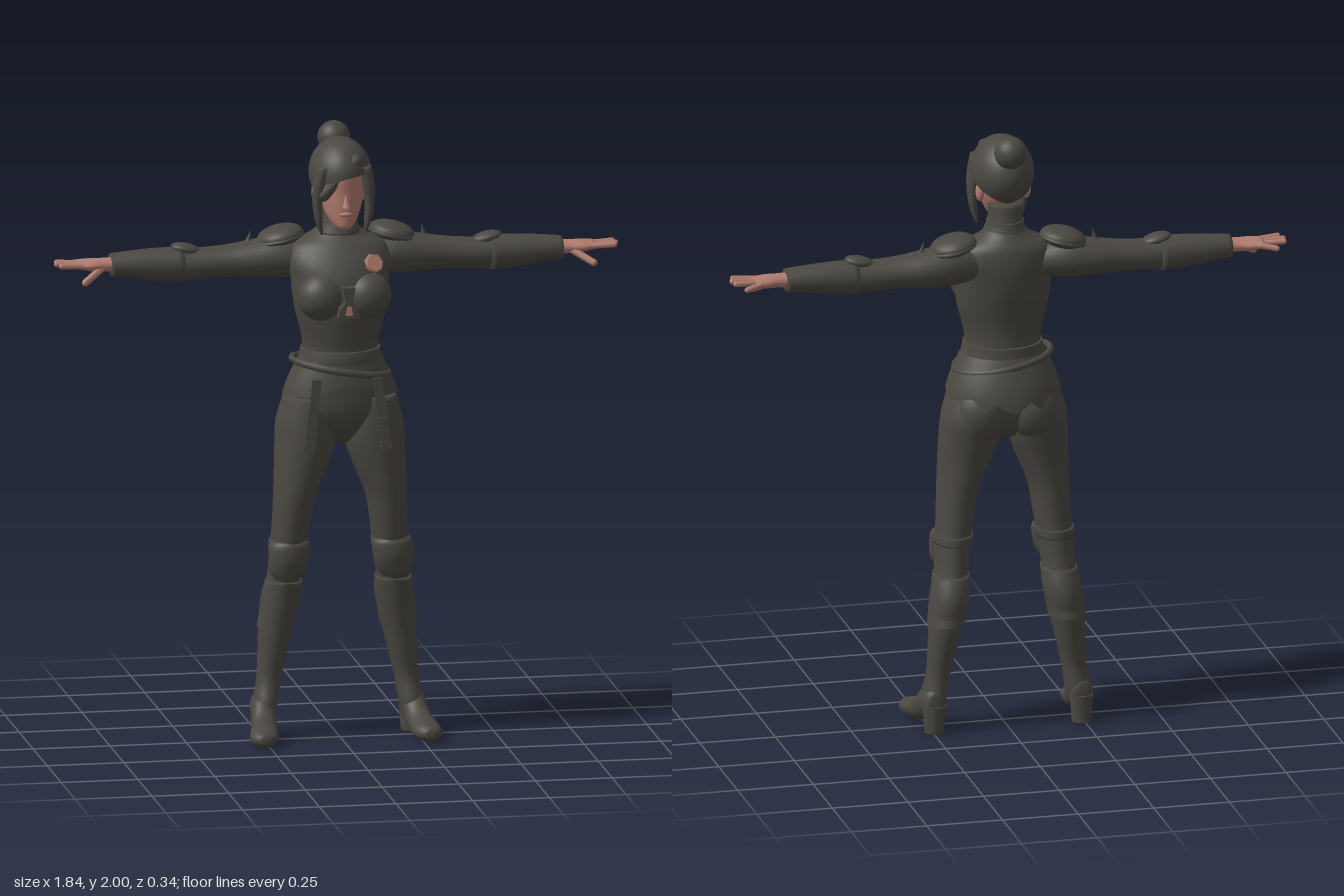
import * as THREE from 'three';

const cloth = new THREE.MeshStandardMaterial({ color: 0x4b4842, side: THREE.DoubleSide });
cloth.name = 'dark cloth';
const skin = new THREE.MeshStandardMaterial({ color: 0xb07c6e, side: THREE.DoubleSide });
skin.name = 'skin';

// Surface closed around u (0..1 turn), open along v (bottom to top)
function wrap(fn, nu, nv) {
  const pos = [], idx = [];
  for (let j = 0; j <= nv; j++)
    for (let i = 0; i < nu; i++) pos.push(...fn((i / nu) * Math.PI * 2, j / nv));
  for (let j = 0; j < nv; j++)
    for (let i = 0; i < nu; i++) {
      const a = j * nu + i, b = j * nu + (i + 1) % nu;
      idx.push(a, b, b + nu, a, b + nu, a + nu);
    }
  const g = new THREE.BufferGeometry();
  g.setAttribute('position', new THREE.Float32BufferAttribute(pos, 3));
  g.setIndex(idx);
  g.computeVertexNormals();
  return g;
}

// Smooth vertical loft through rows [y, cx, cz, rx, rz], closed at both ends
function loft(rows, nu = 28, steps = 4) {
  rows = [...rows].sort((a, b) => a[0] - b[0]);
  const end = r => [r[0], r[1], r[2], 0.0005, 0.0005];
  const n = rows.length - 1;
  const at = (t, k) => {
    const i = Math.min(Math.floor(t * n + 1e-9), n - 1), f = t * n - i;
    const p1 = rows[i][k], p2 = rows[i + 1][k];
    const p0 = rows[Math.max(i - 1, 0)][k], p3 = rows[Math.min(i + 2, n)][k];
    return p1 + 0.5 * f * (p2 - p0 + f * (2 * p0 - 5 * p1 + 4 * p2 - p3 + f * (3 * (p1 - p2) + p3 - p0)));
  };
  const rings = [end(rows[0])];
  for (let s = 0; s <= n * steps; s++) rings.push([0, 1, 2, 3, 4].map(k => at(s / (n * steps), k)));
  rings.push(end(rows[n]));
  const m = rings.length - 1;
  return wrap((a, v) => {
    const r = rings[Math.round(v * m)];
    return [r[1] + r[3] * Math.sin(a), r[0], r[2] + r[4] * Math.cos(a)];
  }, nu, m);
}
// Rows given as [y, cx, rx, zFront, zBack]
const body = rows => loft(rows.map(([y, cx, rx, f, b]) => [y, cx, (f + b) / 2, rx, (f - b) / 2]));
// Rows along x: [x, cy, cz, ry, rz]; rows along z: [z, cx, cy, rx, ry]
const loftX = rows => loft(rows.map(([x, y, ...r]) => [x, -y, ...r])).rotateZ(-Math.PI / 2);
const loftZ = rows => loft(rows.map(([z, x, y, ...r]) => [z, x, -y, ...r])).rotateX(Math.PI / 2);

const ball = (x, y, z, rx, ry, rz, tilt = 0) =>
  new THREE.SphereGeometry(1, 28, 18).scale(rx, ry, rz).rotateZ(tilt).translate(x, y, z);

// Rounded rod between two points
function rod(p, q, r) {
  const a = new THREE.Vector3(...p), b = new THREE.Vector3(...q), d = b.clone().sub(a);
  const g = new THREE.CapsuleGeometry(r, d.length(), 4, 10);
  g.applyQuaternion(new THREE.Quaternion().setFromUnitVectors(new THREE.Vector3(0, 1, 0), d.clone().normalize()));
  return g.translate(...a.add(b).multiplyScalar(0.5).toArray());
}

function mirror(g) {
  const m = g.clone().scale(-1, 1, 1), ix = m.index.array;
  for (let i = 0; i < ix.length; i += 3) [ix[i], ix[i + 1]] = [ix[i + 1], ix[i]];
  m.computeVertexNormals();
  return m;
}

// Flat outline with a thin depth
function plate(points, depth) {
  const s = new THREE.Shape(points.map(p => new THREE.Vector2(...p)));
  return new THREE.ExtrudeGeometry(s, { depth, bevelEnabled: false });
}

export function createModel() {
  const root = new THREE.Group();
  const add = (name, geo, mat = cloth) => {
    const m = new THREE.Mesh(geo, mat);
    m.name = name;
    root.add(m);
    return m;
  };
  const pair = (name, geo, mat = cloth) => {
    add('left' + name, geo, mat);
    add('right' + name, mirror(geo), mat);
  };

  // Torso and collar
  add('torso', body([
    [0.975, 0, 0.04, 0.04, -0.07], [1.02, 0, 0.12, 0.08, -0.11], [1.08, 0, 0.18, 0.105, -0.13],
    [1.15, 0, 0.175, 0.11, -0.135], [1.22, 0, 0.145, 0.11, -0.115], [1.28, 0, 0.123, 0.106, -0.108],
    [1.34, 0, 0.13, 0.115, -0.108], [1.4, 0, 0.146, 0.125, -0.118], [1.46, 0, 0.155, 0.13, -0.13],
    [1.52, 0, 0.16, 0.12, -0.138], [1.57, 0, 0.17, 0.098, -0.14], [1.62, 0, 0.15, 0.065, -0.132],
    [1.655, 0, 0.085, 0.035, -0.112], [1.69, 0, 0.058, 0.025, -0.095], [1.76, 0, 0.054, 0.02, -0.085]]));
  add('collar', body([[1.655, 0, 0.075, 0.042, -0.108], [1.685, 0, 0.062, 0.034, -0.1], [1.7, 0, 0.06, 0.03, -0.097]]));
  pair('Bust', ball(0.074, 1.465, 0.078, 0.078, 0.078, 0.073));
  pair('Buttock', ball(0.088, 1.065, -0.07, 0.085, 0.1, 0.078));
  add('waistband', body([[1.245, 0, 0.137, 0.118, -0.118], [1.265, 0, 0.132, 0.117, -0.116], [1.285, 0, 0.129, 0.113, -0.114]]));

  // Jacket skirt with a pointed hem at the back
  add('skirt', wrap((a, v) => {
    const back = Math.max(0, -Math.cos(a)), side = Math.abs(Math.sin(a));
    const point = Math.abs(((a / (Math.PI * 2)) * 10 + 0.5) % 1 - 0.5) * 2;
    const drop = 0.075 + 0.045 * side + back * (0.05 + 0.045 * (1 - point));
    const t = 1 - v, flare = Math.sin(Math.min(t * drop / 0.13, 1.3) * 1.2);
    return [Math.sin(a) * (0.137 + 0.055 * flare), 1.25 - drop * t,
      Math.cos(a) > 0 ? Math.cos(a) * (0.116 + 0.016 * flare) : Math.cos(a) * (0.118 + 0.052 * flare)];
  }, 80, 8));
  const belt = add('belt', new THREE.TorusGeometry(1, 0.07, 8, 48).rotateX(Math.PI / 2).scale(0.158, 0.16, 0.128));
  belt.position.set(0, 1.222, 0);
  belt.rotation.z = -0.17;

  // Hanging straps with studs
  for (const s of [-1, 1]) {
    const strap = new THREE.Group();
    strap.name = s > 0 ? 'leftStrap' : 'rightStrap';
    const web = new THREE.Mesh(new THREE.BoxGeometry(0.03, 0.24, 0.01), cloth);
    web.name = 'strapWebbing';
    strap.add(web);
    for (let i = 0; i < 4; i++) {
      const stud = new THREE.Mesh(new THREE.BoxGeometry(0.034, 0.022, 0.018), cloth);
      stud.name = 'strapStud';
      stud.position.y = -0.1 + i * 0.04;
      strap.add(stud);
    }
    strap.position.set(s * 0.113, 1.085, 0.132);
    strap.rotation.z = s > 0 ? 0.13 : -0.12;
    root.add(strap);
  }

  // Chest clasp and badge
  add('chestClasp', plate([[-0.035, 1.41], [0.035, 1.41], [0.03, 1.44], [0.012, 1.46], [0.02, 1.51], [-0.02, 1.51], [-0.012, 1.46], [-0.03, 1.44]], 0.03).translate(0, 0, 0.138));
  add('claspInset', plate([[-0.012, 1.42], [0.012, 1.42], [0.006, 1.45], [-0.006, 1.45]], 0.004).translate(0, 0, 0.167), skin);
  const badge = add('badge', new THREE.CylinderGeometry(0.03, 0.033, 0.012, 7).rotateX(Math.PI / 2), skin);
  badge.position.set(0.095, 1.572, 0.09);
  badge.rotation.set(-0.55, 0.35, 0);

  // Legs, knee pads and boots
  pair('Leg', body([
    [1.13, 0.1, 0.08, 0.095, -0.115], [1.05, 0.107, 0.097, 0.1, -0.135], [0.98, 0.112, 0.098, 0.1, -0.122],
    [0.9, 0.127, 0.086, 0.097, -0.105], [0.8, 0.149, 0.067, 0.09, -0.094], [0.7, 0.16, 0.06, 0.074, -0.09],
    [0.62, 0.168, 0.058, 0.058, -0.092], [0.54, 0.176, 0.054, 0.045, -0.1], [0.46, 0.184, 0.056, 0.022, -0.118]]));
  pair('KneePad', body([[0.655, 0.167, 0.052, 0.062, -0.03], [0.64, 0.167, 0.066, 0.07, -0.035], [0.6, 0.17, 0.066, 0.071, -0.035],
    [0.56, 0.174, 0.06, 0.062, -0.03], [0.53, 0.176, 0.04, 0.052, -0.02]]));
  pair('KneeStrap', body([[0.65, 0.166, 0.062, 0.066, -0.096], [0.62, 0.168, 0.062, 0.062, -0.097]]));
  pair('Boot', body([
    [0.52, 0.178, 0.058, 0.046, -0.104], [0.45, 0.186, 0.063, 0.026, -0.128], [0.36, 0.2, 0.056, 0.014, -0.122],
    [0.27, 0.212, 0.047, 0.002, -0.106], [0.19, 0.224, 0.04, -0.004, -0.092], [0.12, 0.236, 0.041, 0.015, -0.097], [0.07, 0.242, 0.036, 0.02, -0.095]]));
  pair('BootCuff', wrap((a, v) => {
    const top = 0.445 + 0.075 * Math.max(0, Math.cos(a));
    const r = 1.08 - 0.03 * v, y = 0.36 + (top - 0.36) * v, k = (y - 0.36) / 0.16;
    return [0.2 - 0.024 * k + Math.sin(a) * r * (0.056 + 0.004 * k), y, -0.054 + 0.026 * k + Math.cos(a) * r * (0.07 + 0.006 * k)];
  }, 28, 6));
  pair('Foot', loftZ([
    [-0.1, 0.242, 0.1, 0.025, 0.035], [-0.06, 0.243, 0.098, 0.04, 0.055], [-0.01, 0.246, 0.082, 0.04, 0.055],
    [0.04, 0.254, 0.05, 0.041, 0.042], [0.09, 0.263, 0.034, 0.047, 0.034], [0.13, 0.268, 0.03, 0.042, 0.028], [0.16, 0.27, 0.03, 0.018, 0.016]]));
  pair('BootHeel', new THREE.CylinderGeometry(0.038, 0.032, 0.09, 16).translate(0.243, 0.045, -0.072));

  // Sleeves, bracers and shoulder armour
  pair('Sleeve', loftX([
    [0.1, 1.565, -0.05, 0.05, 0.06], [0.19, 1.572, -0.066, 0.068, 0.076], [0.28, 1.566, -0.073, 0.06, 0.072],
    [0.36, 1.562, -0.073, 0.052, 0.06], [0.45, 1.557, -0.072, 0.051, 0.056], [0.52, 1.556, -0.072, 0.053, 0.053],
    [0.6, 1.56, -0.073, 0.048, 0.05], [0.68, 1.563, -0.073, 0.04, 0.046], [0.73, 1.565, -0.072, 0.034, 0.04]]));
  pair('Bracer', loftX([[0.5, 1.557, -0.072, 0.057, 0.057], [0.6, 1.56, -0.073, 0.052, 0.053], [0.68, 1.563, -0.073, 0.043, 0.048],
    [0.735, 1.564, -0.072, 0.037, 0.043]]));
  pair('ElbowPlate', ball(0.49, 1.607, -0.072, 0.05, 0.018, 0.036, 0.22));
  pair('ShoulderPad', ball(0.182, 1.638, -0.075, 0.076, 0.034, 0.075, -0.22));
  pair('PadRim', new THREE.TorusGeometry(1, 0.08, 8, 32).rotateX(Math.PI / 2).scale(0.073, 0.09, 0.072).rotateZ(-0.22).translate(0.182, 1.632, -0.075));
  pair('SleeveSpike', new THREE.ConeGeometry(0.012, 0.05, 8).rotateZ(0.25).translate(0.284, 1.635, -0.075));

  // Hands
  pair('Palm', loftX([[0.72, 1.565, -0.072, 0.024, 0.03], [0.76, 1.565, -0.072, 0.022, 0.032],
    [0.8, 1.566, -0.074, 0.02, 0.042], [0.84, 1.568, -0.08, 0.014, 0.043]]), skin);
  [[-0.115, 0.875, -0.13], [-0.092, 0.905, -0.1], [-0.068, 0.91, -0.07], [-0.046, 0.9, -0.037]].forEach(([z, tx, tz], i) =>
    pair('Finger' + (i + 1), rod([0.825, 1.568, z], [tx, 1.572 - (i === 0 ? 0.012 : 0), tz], 0.0095), skin));
  pair('Thumb', rod([0.77, 1.555, -0.05], [0.828, 1.522, -0.008], 0.012), skin);

  // Head
  add('head', body([
    [1.688, 0, 0.02, 0.1, 0.05], [1.7, 0, 0.036, 0.108, 0.0], [1.73, 0, 0.054, 0.11, -0.04], [1.77, 0, 0.068, 0.11, -0.075],
    [1.81, 0, 0.075, 0.109, -0.095], [1.86, 0, 0.077, 0.111, -0.1], [1.91, 0, 0.066, 0.095, -0.09], [1.94, 0, 0.04, 0.05, -0.05]]), skin);
  add('nose', new THREE.ConeGeometry(0.014, 0.05, 8).scale(1, 1, 1.2).rotateX(-0.25).translate(0, 1.785, 0.112), skin);
  add('lips', ball(0, 1.738, 0.107, 0.02, 0.008, 0.009), skin);
  pair('Ear', ball(0.077, 1.79, -0.012, 0.014, 0.032, 0.02), skin);

  // Swept hair cap with an uneven hairline, side locks and bun
  add('hair', wrap((a, v) => {
    const front = (1 + Math.cos(a)) / 2, side = Math.sin(a);
    const low = 2.5 - 0.95 * Math.pow(front, 0.6) - 0.22 * side * front * Math.sign(Math.cos(a) + 1);
    const th = Math.max(low * (1 - v), 0.002);
    return [0.1 * Math.sin(th) * Math.sin(a), 1.856 + 0.114 * Math.cos(th), 0.13 * Math.sin(th) * Math.cos(a)];
  }, 48, 20));
  pair('SideLock', loft([
    [1.665, 0.07, 0.055, 0.004, 0.008], [1.71, 0.08, 0.06, 0.012, 0.02], [1.77, 0.085, 0.062, 0.016, 0.027],
    [1.83, 0.08, 0.068, 0.02, 0.032], [1.89, 0.068, 0.07, 0.02, 0.034]], 16));
  add('fringe', rod([0.035, 1.91, 0.093], [-0.07, 1.8, 0.08], 0.022));
  add('bun', ball(0, 1.947, -0.11, 0.053, 0.053, 0.053));
  add('bunBand', new THREE.TorusGeometry(0.036, 0.01, 8, 24).rotateX(0.75).translate(0, 1.92, -0.085));

  return root;
}
